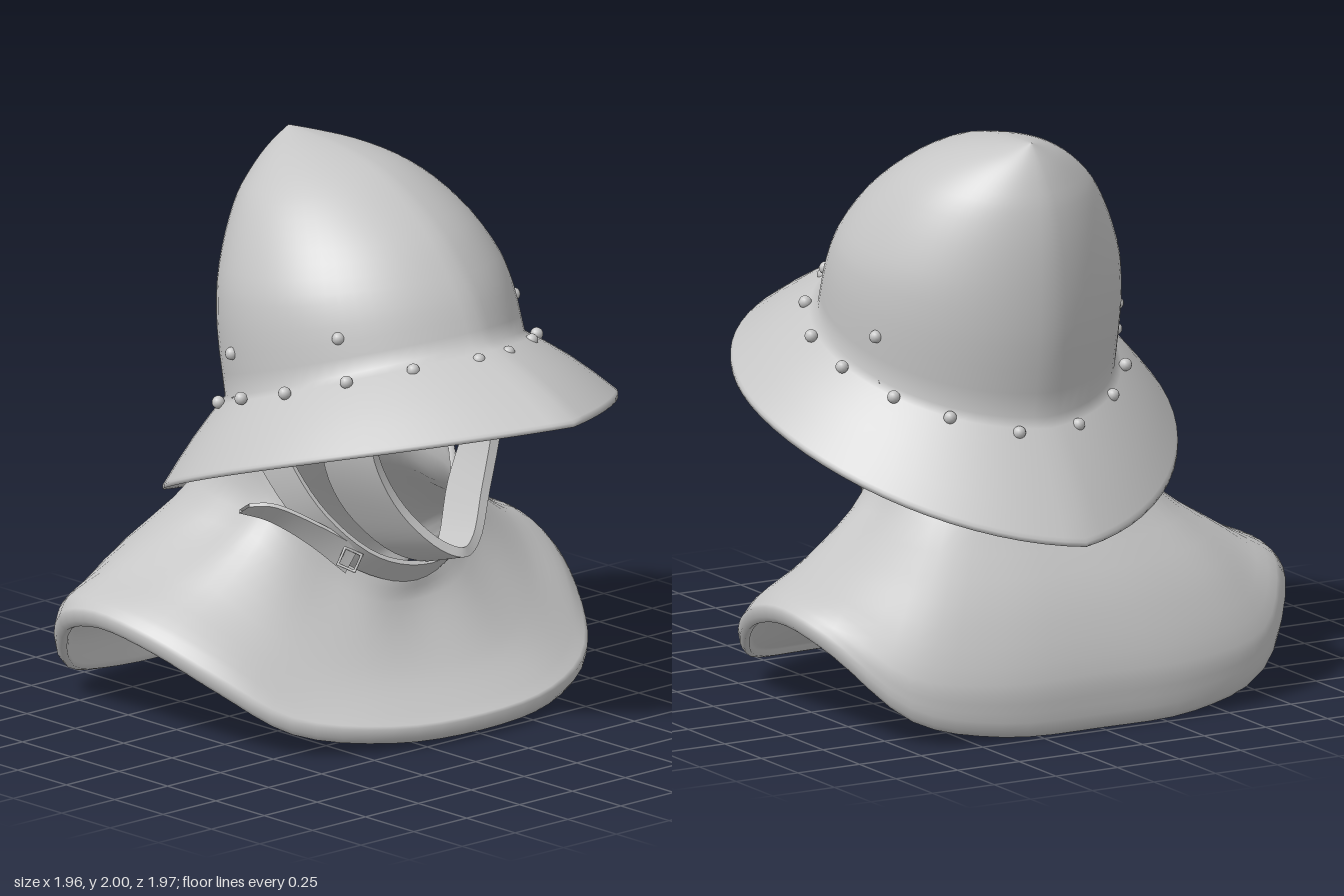
import * as THREE from 'three';
import { toCreasedNormals } from 'three/addons/utils/BufferGeometryUtils.js';

const V = (x, y, z) => new THREE.Vector3(x, y, z);
const vecs = (list) => list.map((p) => V(...p));

// Surface through rows of points; every row is a closed loop.
function loft(rows) {
  const n = rows[0].length;
  const index = [];
  for (let r = 0; r < rows.length - 1; r++) {
    for (let c = 0; c < n; c++) {
      const a = r * n + c, b = r * n + ((c + 1) % n);
      index.push(a, b, b + n, a, b + n, a + n);
    }
  }
  const geo = new THREE.BufferGeometry().setFromPoints(rows.flat());
  geo.setIndex(index);
  geo.computeVertexNormals();
  return geo;
}

// Loop with a soft point at front and back, tilted between two profile points [z, y].
const SEG = 64;
function pointedLoop(front, back, width, frontPoint, backPoint) {
  const loop = [];
  for (let i = 0; i < SEG; i++) {
    const a = (i / SEG) * Math.PI * 2;
    const side = a > Math.PI ? Math.PI * 2 - a : a;
    const mix = side < Math.PI / 2 ? frontPoint : backPoint;
    const k = Math.cos(a) * (1 - mix) + (1 - (2 * side) / Math.PI) * mix;
    const t = (1 - k) / 2;
    loop.push(V(width * Math.sin(a),
      THREE.MathUtils.lerp(front[1], back[1], t),
      THREE.MathUtils.lerp(front[0], back[0], t)));
  }
  return loop;
}

// Closed smooth loop from a left half running front to back.
function mirroredLoop(half) {
  const left = vecs(half);
  const right = left.slice(1, -1).reverse().map((p) => V(-p.x, p.y, p.z));
  const curve = new THREE.CatmullRomCurve3([...left, ...right], true);
  return Array.from({ length: 72 }, (_, i) => curve.getPoint(i / 72));
}

// Flat strap between two edge paths.
function strap(edgeA, edgeB, thick, steps = 40) {
  const a = new THREE.CatmullRomCurve3(edgeA), b = new THREE.CatmullRomCurve3(edgeB);
  const rows = [];
  for (let i = 0; i <= steps; i++) {
    const t = i / steps, p = a.getPoint(t), q = b.getPoint(t);
    const off = q.clone().sub(p).cross(a.getTangent(t)).setLength(thick);
    rows.push([p, q, q.clone().add(off), p.clone().add(off)]);
  }
  return toCreasedNormals(loft(rows), 0.8);
}
const mirrorPath = (half) => {
  const left = vecs(half);
  return [...left, ...left.slice(0, -1).reverse().map((p) => V(-p.x, p.y, p.z))];
};

export function createModel() {
  const group = new THREE.Group();
  const steel = new THREE.MeshStandardMaterial({ color: 0xc6c6c6, side: THREE.DoubleSide });
  steel.name = 'steel grey';
  const add = (name, geo) => {
    const mesh = new THREE.Mesh(geo, steel);
    mesh.name = name;
    group.add(mesh);
    return mesh;
  };

  // Skull: tilted loops [front z, y, back z, y, half width] shrinking to the rear peak
  const profile = [
    [0.52, 1.42, -0.6, 1.04, 0.515], [0.46, 1.55, -0.638, 1.3, 0.515],
    [0.4, 1.64, -0.645, 1.48, 0.495], [0.29, 1.76, -0.635, 1.65, 0.43],
    [0.13, 1.87, -0.61, 1.78, 0.345], [-0.02, 1.94, -0.58, 1.86, 0.255],
    [-0.2, 1.98, -0.55, 1.92, 0.16], [-0.37, 1.995, -0.52, 1.965, 0.07],
    [-0.49, 2.0, -0.491, 2.0, 0.001],
  ];
  const pick = (i, j) => new THREE.CatmullRomCurve3(profile.map((p) => V(p[i], p[j], p[4])));
  const frontLine = pick(0, 1), backLine = pick(2, 3);
  const skull = [];
  for (let i = 0; i <= 24; i++) {
    const f = frontLine.getPoint(i / 24), b = backLine.getPoint(i / 24);
    skull.push(pointedLoop([f.x, f.y], [b.x, b.y], f.z, 0.2, 0.12));
  }

  // Brim: sloping from a pointed, gently bowed rim and running softly into the skull
  const rim = pointedLoop([0.985, 0], [-0.865, 0], 0.77, 0.5, 0.25);
  rim.forEach((p) => { p.y = 0.99 + 0.328 * p.z - 0.085 * p.z * p.z; });
  const brimRow = (t, drop) => rim.map((p, i) => {
    const q = p.clone().lerp(skull[0][i], t);
    q.y += 0.015 * Math.sin(Math.PI * t) - drop;
    return q;
  });
  const steps = [0, 0.03, 0.25, 0.5, 0.75, 0.9];
  add('skullAndBrim', loft([
    ...[...steps].reverse().map((t) => brimRow(t, 0.015)),
    ...steps.map((t) => brimRow(t, 0)),
    ...skull,
  ]));

  // Rivets around the brim and on the skull sides
  const rivetGeo = new THREE.SphereGeometry(0.023, 14, 10);
  const rivets = [
    [0.07, 1.385, 0.57], [0.28, 1.365, 0.46], [0.45, 1.32, 0.3], [0.55, 1.255, 0.09],
    [0.555, 1.19, -0.13], [0.47, 1.115, -0.34], [0.33, 1.055, -0.49], [0.12, 1.0, -0.61],
    [0.415, 1.455, 0.22], [0.49, 1.315, -0.25],
  ];
  for (const [x, y, z] of rivets) {
    for (const s of [1, -1]) add('rivet', rivetGeo).position.set(s * x, y, z);
  }

  // Mantle: smooth loops at neck, collar, shoulder, fold and hem
  const neck = mirroredLoop([
    [0, 0.5, 0.17], [0.16, 0.54, 0.14], [0.28, 0.64, 0.06], [0.37, 0.78, -0.03], [0.42, 0.93, -0.12],
    [0.43, 1.06, -0.21], [0.4, 1.08, -0.33], [0.32, 1.07, -0.44], [0.18, 1.05, -0.53], [0, 1.03, -0.575],
  ]);
  const collar = mirroredLoop([
    [0, 0.42, 0.18], [0.2, 0.45, 0.17], [0.34, 0.53, 0.08], [0.43, 0.65, -0.02], [0.46, 0.74, -0.13],
    [0.46, 0.75, -0.26], [0.46, 0.77, -0.42], [0.38, 0.78, -0.57], [0.2, 0.76, -0.65], [0, 0.75, -0.67],
  ]);
  const shoulder = mirroredLoop([
    [0, 0.22, 0.335], [0.28, 0.24, 0.3], [0.51, 0.32, 0.18], [0.64, 0.43, 0.03], [0.7, 0.535, -0.15],
    [0.74, 0.55, -0.34], [0.74, 0.54, -0.57], [0.6, 0.48, -0.78], [0.33, 0.46, -0.86], [0, 0.46, -0.875],
  ]);
  const fold = mirroredLoop([
    [0, 0.105, 0.475], [0.36, 0.12, 0.42], [0.65, 0.18, 0.26], [0.81, 0.33, 0.05], [0.9, 0.43, -0.18],
    [0.93, 0.465, -0.43], [0.89, 0.42, -0.66], [0.72, 0.25, -0.87], [0.4, 0.2, -0.965], [0, 0.2, -0.98],
  ]);
  const hem = mirroredLoop([
    [0, 0.07, 0.53], [0.38, 0.08, 0.47], [0.7, 0.135, 0.29], [0.86, 0.27, 0.06], [0.95, 0.38, -0.18],
    [0.98, 0.425, -0.43], [0.93, 0.36, -0.66], [0.72, 0.14, -0.88], [0.4, 0.065, -0.97], [0, 0.055, -0.985],
  ]);
  const folds = neck.map((p, i) =>
    new THREE.CatmullRomCurve3([p, collar[i], shoulder[i], fold[i], hem[i]]));
  const mantleRow = (t, k, drop) => folds.map((curve) => {
    const p = curve.getPoint(t);
    return V(p.x * k, p.y - drop, (p.z + 0.2) * k - 0.2);
  });
  const rows = [];
  for (let i = 0; i <= 16; i++) rows.push(mantleRow(i / 16, 0.955, 0.03));
  rows.push(mantleRow(1, 0.955, 0.05), mantleRow(1, 0.975, 0.055), mantleRow(1, 0.993, 0.035));
  for (let i = 16; i >= 0; i--) rows.push(mantleRow(i / 16, 1, 0));
  rows.push(rows[0]);
  add('mantle', loft(rows));

  // Chin strap, wide and tapering to a soft point under the chin
  add('chinStrap', strap(
    mirrorPath([[0.33, 1.25, 0.28], [0.3, 1.0, 0.28], [0.21, 0.8, 0.32], [0.09, 0.66, 0.4], [0, 0.625, 0.43]]),
    mirrorPath([[0.38, 1.25, 0.12], [0.36, 0.98, 0.08], [0.26, 0.77, 0.09], [0.12, 0.61, 0.19], [0, 0.575, 0.26]]),
    0.035));

  // Throat strap behind it
  add('throatStrap', strap(
    mirrorPath([[0.45, 1.22, -0.14], [0.45, 0.98, 0], [0.38, 0.78, 0.12], [0.22, 0.62, 0.22], [0, 0.565, 0.25]]),
    mirrorPath([[0.48, 1.15, -0.26], [0.475, 0.93, -0.12], [0.39, 0.71, 0.02], [0.24, 0.56, 0.13], [0, 0.485, 0.17]]),
    0.018));

  // Loose strap end and its buckle on the right
  add('strapEnd', strap(
    vecs([[-0.28, 0.66, 0.18], [-0.4, 0.745, 0.11], [-0.53, 0.82, 0.01], [-0.59, 0.82, -0.05]]),
    vecs([[-0.3, 0.56, 0.13], [-0.4, 0.67, 0.04], [-0.5, 0.75, -0.05], [-0.6, 0.79, -0.09]]),
    0.015, 14));
  const buckle = add('buckle', new THREE.TorusGeometry(0.045, 0.007, 6, 4));
  buckle.position.set(-0.31, 0.62, 0.165);
  buckle.rotation.set(-0.4, -0.6, 0.1);

  return group;
}
